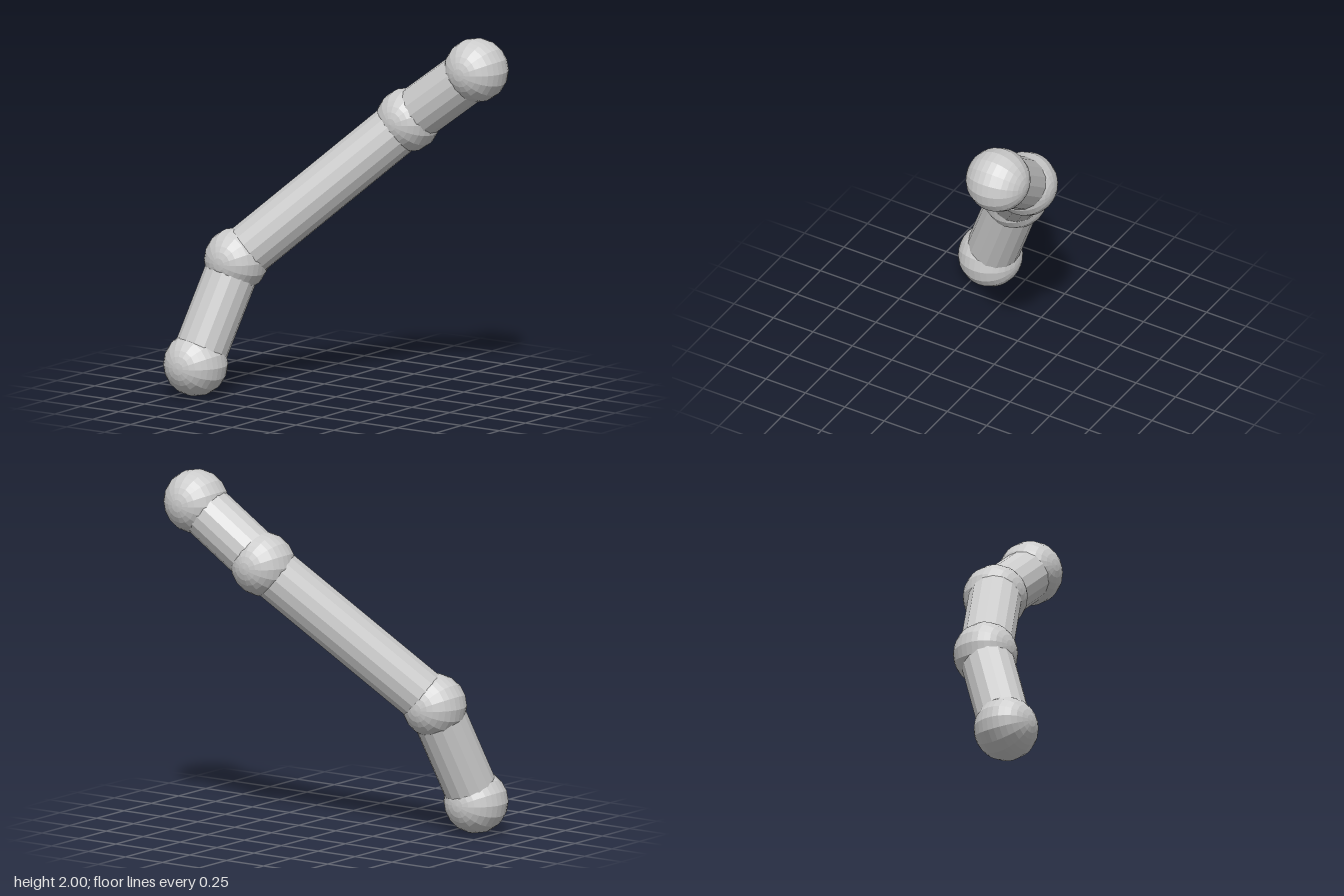
import * as THREE from 'three';

const BALL_RADIUS = 0.177;
const ROD_RADIUS = 0.147;

export function createModel() {
  const group = new THREE.Group();
  group.name = 'jointedRod';
  const material = new THREE.MeshStandardMaterial({ color: 0xcccccc, flatShading: true });

  // Joint centres, from the low end to the high end
  const joints = [
    [-0.647, 0.18, 0.409],
    [-0.534, 0.735, 0.182],
    [0.241, 1.514, -0.342],
    [0.645, 1.825, -0.409],
  ].map((p) => new THREE.Vector3(...p));
  const ballNames = ['lowerEndBall', 'lowerJointBall', 'upperJointBall', 'upperEndBall'];
  const rodNames = ['lowerRod', 'middleRod', 'upperRod'];

  // Faceted balls with their poles along z
  const ballGeometry = new THREE.SphereGeometry(BALL_RADIUS, 16, 16).rotateX(Math.PI / 2);
  joints.forEach((joint, i) => {
    const ball = new THREE.Mesh(ballGeometry, material);
    ball.name = ballNames[i];
    ball.position.copy(joint);
    group.add(ball);
  });

  // Sixteen-sided rods from one ball centre to the next
  const zAxis = new THREE.Vector3(0, 0, 1);
  rodNames.forEach((name, i) => {
    const axis = joints[i + 1].clone().sub(joints[i]);
    const geometry = new THREE.CylinderGeometry(ROD_RADIUS, ROD_RADIUS, axis.length(), 16);
    geometry.rotateX(Math.PI / 2);
    const rod = new THREE.Mesh(geometry, material);
    rod.name = name;
    rod.position.copy(joints[i]).add(joints[i + 1]).multiplyScalar(0.5);
    rod.quaternion.setFromUnitVectors(zAxis, axis.normalize());
    group.add(rod);
  });

  return group;
}
